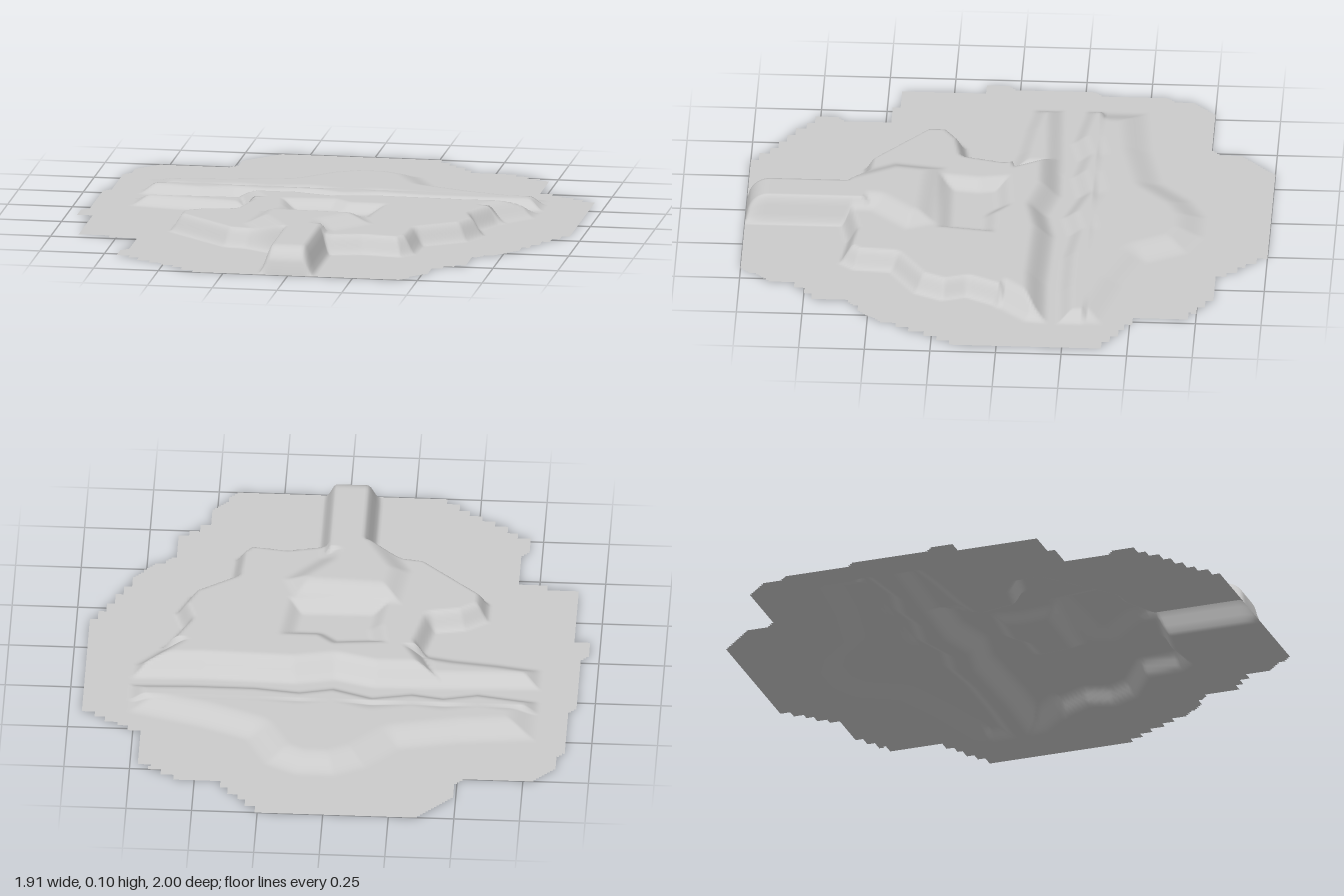
import * as THREE from 'three';

const STEP = 0.01;

// Corner points of a staircase from a to b; zFirst picks the first direction
function stairs(a, b, n, zFirst = false) {
  const pts = [];
  for (let i = 0; i < n; i++) {
    const at = (t) => [a[0] + (b[0] - a[0]) * t, a[1] + (b[1] - a[1]) * t];
    const p = at(i / n), q = at((i + 1) / n);
    pts.push(p, zFirst ? [p[0], q[1]] : [q[0], p[1]]);
  }
  pts.push(b);
  return pts;
}

// Signed distance to a polygon, positive inside
function inset(poly, x, z) {
  let inside = false, best = Infinity;
  for (let i = 0, j = poly.length - 1; i < poly.length; j = i++) {
    const [ax, az] = poly[j], [bx, bz] = poly[i];
    const dx = bx - ax, dz = bz - az;
    const len = dx * dx + dz * dz || 1;
    const t = Math.min(1, Math.max(0, ((x - ax) * dx + (z - az) * dz) / len));
    best = Math.min(best, Math.hypot(x - ax - t * dx, z - az - t * dz));
    if ((az > z) !== (bz > z) && x < ax + ((z - az) / dz) * dx) inside = !inside;
  }
  return inside ? best : -best;
}

// 0 outside the polygon, rising to 1 across a bank of the given width
const rise = (poly, x, z, width) => THREE.MathUtils.smoothstep(inset(poly, x, z), 0, width);

// Ragged edge of the ground sheet
const outline = [
  [-0.35, -1], ...stairs([0.23, -1], [0.4, -0.81], 5),
  ...stairs([0.54, -0.81], [0.72, -0.69], 4), ...stairs([0.72, -0.54], [0.95, -0.4], 5, true),
  ...stairs([0.95, 0.18], [0.8, 0.44], 5), [0.72, 0.54], [0.69, 0.54], [0.64, 0.59],
  ...stairs([0.64, 0.72], [0.52, 0.82], 3), [0.52, 0.89], [0.46, 0.95], [0.46, 0.97], [0.43, 1],
  ...stairs([-0.37, 1], [-0.7, 0.77], 7, true), [-0.7, 0.69], [-0.67, 0.65], [-0.67, 0.48],
  [-0.78, 0.48], [-0.78, 0.45], [-0.9, 0.45], [-0.9, 0.13], [-0.96, 0.13], [-0.96, 0.05],
  [-0.93, 0.01], [-0.93, -0.29], [-0.9, -0.31], [-0.9, -0.56], [-0.87, -0.6], [-0.87, -0.66],
  [-0.78, -0.75], [-0.53, -0.75], [-0.49, -0.78], [-0.49, -0.86],
];

// Low ridge at the back, with a rounded bulge
const backRidge = [
  [-0.79, -0.5], [-0.5, -0.53], [-0.27, -0.58], [-0.15, -0.7], [-0.03, -0.76], [0.12, -0.76],
  [0.24, -0.7], [0.32, -0.55], [0.5, -0.48], [0.78, -0.4], [0.78, -0.22], [0.55, -0.21],
  [0.3, -0.21], [0.13, -0.23], [0, -0.2], [-0.15, -0.25], [-0.3, -0.22], [-0.42, -0.24],
  [-0.55, -0.21], [-0.79, -0.25],
];
// Main plateau with its inlet on the left
const plateau = [
  [-0.46, -0.19], [-0.15, -0.2], [0, -0.16], [0.15, -0.19], [0.5, -0.18], [0.78, -0.19],
  [0.77, -0.1], [0.65, 0.03], [0.6, 0.13], [0.63, 0.22], [0.58, 0.33], [0.43, 0.43],
  [0.42, 0.57], [0.37, 0.63], [0.22, 0.61], [0.08, 0.64], [-0.1, 0.66], [-0.24, 0.58],
  [-0.32, 0.57], [-0.57, 0.35], [-0.57, 0.24], [-0.48, 0.18], [-0.37, 0.16], [-0.34, 0.03],
];
// Low arm reaching left from the plateau
const arm = [[-0.79, -0.18], [-0.3, -0.2], [-0.3, 0.03], [-0.45, 0], [-0.62, -0.02], [-0.79, -0.05]];
// Upper terrace, hollow and causeway
const terrace = [[-0.24, 0.24], [0.18, 0.26], [0.23, 0.38], [0.1, 0.52], [0.1, 0.72], [-0.12, 0.72], [-0.27, 0.45]];
const hollow = [[-0.2, 0.0], [0.02, -0.02], [0.08, 0.03], [0.23, 0.03], [0.2, 0.27], [-0.2, 0.28], [-0.18, 0.12]];
const causeway = [[-0.12, 0.5], [0.1, 0.5], [0.1, 1.2], [-0.12, 1.2]];

function heightAt(x, z) {
  const bank = z < 0 ? 0.1 : 0.055;
  const main = rise(plateau, x, z, bank);
  let h = 0.068 * main;
  h += 0.035 * main * rise(terrace, x, z, 0.1);
  h -= 0.034 * rise(hollow, x, z, 0.07);
  const end = Math.sqrt(Math.max(0, 1 - Math.max(0, (z - 0.91) / 0.09) ** 2));
  const spur = 0.103 * rise(causeway, x, z, 0.05) * end;
  const ridge = 0.034 * rise(backRidge, x, z, z < -0.32 ? 0.13 : 0.07);
  return Math.max(0, h, spur, ridge, 0.034 * rise(arm, x, z, 0.08));
}

// Grid sheet cut to the outline and lifted by the height rule
function terrainGeometry() {
  const nx = Math.round(1.92 / STEP), nz = Math.round(2 / STEP);
  const positions = [], index = [], ids = new Map();
  const vertex = (i, j) => {
    const key = i * (nz + 1) + j;
    if (!ids.has(key)) {
      const x = -0.96 + i * STEP, z = -1 + j * STEP;
      ids.set(key, positions.length / 3);
      positions.push(x, heightAt(x, z), z);
    }
    return ids.get(key);
  };
  for (let i = 0; i < nx; i++) {
    for (let j = 0; j < nz; j++) {
      if (inset(outline, -0.96 + (i + 0.5) * STEP, -1 + (j + 0.5) * STEP) < 0) continue;
      const a = vertex(i, j), b = vertex(i, j + 1), c = vertex(i + 1, j + 1), d = vertex(i + 1, j);
      index.push(a, b, c, a, c, d);
    }
  }
  const geometry = new THREE.BufferGeometry();
  geometry.setAttribute('position', new THREE.Float32BufferAttribute(positions, 3));
  geometry.setIndex(index);
  geometry.computeVertexNormals();
  return geometry;
}

export function createModel() {
  const group = new THREE.Group();
  group.name = 'terrain';
  const material = new THREE.MeshStandardMaterial({ color: 0xcccccc, side: THREE.DoubleSide });
  const ground = new THREE.Mesh(terrainGeometry(), material);
  ground.name = 'groundSheet';
  group.add(ground);
  return group;
}
